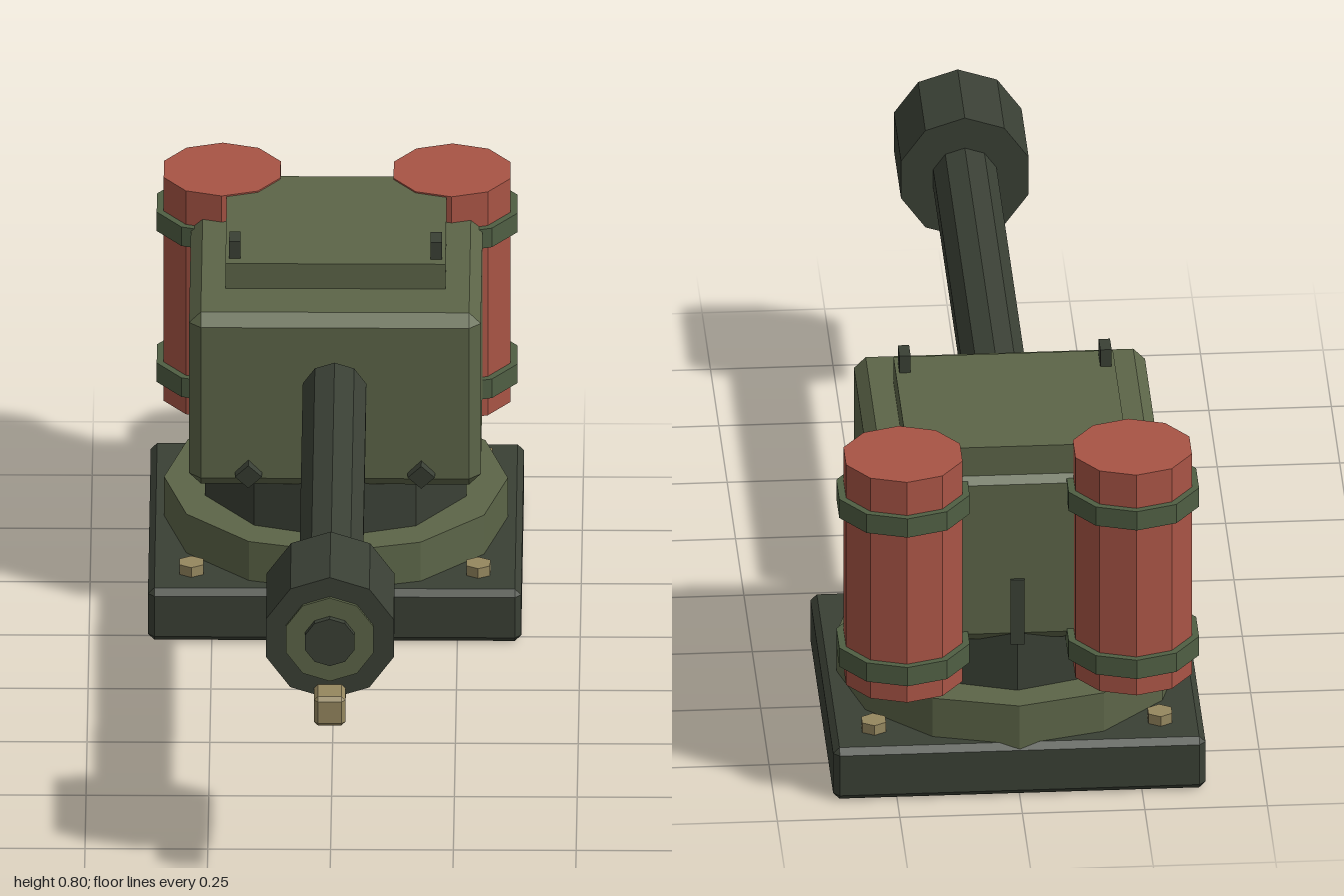
import * as THREE from 'three';
import { ConvexGeometry } from 'three/addons/geometries/ConvexGeometry.js';

const mat = (name, color) => {
  const m = new THREE.MeshStandardMaterial({ color });
  m.name = name;
  return m;
};

// Faceted copy of a geometry with one normal per face
function faceted(geo) {
  const g = geo.index ? geo.toNonIndexed() : geo;
  g.computeVertexNormals();
  return g;
}

// Box with every edge cut at 45 degrees by c
function chamferBox(w, h, d, c) {
  const pts = [];
  for (const sx of [-1, 1]) for (const sy of [-1, 1]) for (const sz of [-1, 1]) {
    const x = sx * w / 2, y = sy * h / 2, z = sz * d / 2;
    pts.push(
      new THREE.Vector3(x, y - sy * c, z - sz * c),
      new THREE.Vector3(x - sx * c, y, z - sz * c),
      new THREE.Vector3(x - sx * c, y - sy * c, z));
  }
  return new ConvexGeometry(pts);
}

const prism = (r, h, sides) => faceted(new THREE.CylinderGeometry(r, r, h, sides));
const prismZ = (r, z0, z1) => prism(r, z1 - z0, 10).rotateX(Math.PI / 2).translate(0, 0, (z0 + z1) / 2);

export function createModel() {
  const green = mat('olive green', 0x5c6548);
  const bandGreen = mat('strap green', 0x4f5e43);
  const dark = mat('dark gunmetal', 0x3a4035);
  const red = mat('tank red', 0xa85445);
  const tan = mat('brass', 0x95875f);

  const model = new THREE.Group();
  model.name = 'turret';
  const add = (name, geo, material, x, y, z, parent = model) => {
    const m = new THREE.Mesh(geo, material);
    m.name = name;
    m.position.set(x, y, z);
    parent.add(m);
    return m;
  };
  const Z = -0.57; // turning axis of the turret

  // Base plate, turntable and neck
  add('basePlate', chamferBox(0.76, 0.117, 0.704, 0.013), dark, 0, 0.0585, Z);
  add('turntable', prism(0.35, 0.1, 12), green, 0, 0.155, Z);
  add('neck', prism(0.28, 0.135, 10), dark, 0, 0.27, Z);
  for (const sx of [-1, 1]) for (const sz of [-1, 1])
    add('baseBolt', prism(0.028, 0.026, 6), tan, sx * 0.292, 0.126, Z + sz * 0.262);

  // Housing with roof and central rib
  add('housing', chamferBox(0.594, 0.388, 0.56, 0.024), green, 0, 0.507, Z);
  add('roof', new THREE.BoxGeometry(0.448, 0.07, 0.41), green, 0, 0.722, -0.63);
  add('rib', new THREE.BoxGeometry(0.028, 0.148, 0.572), dark, 0, 0.387, Z);

  for (const s of [-1, 1]) {
    // Roof sights and front studs
    add('sight', new THREE.BoxGeometry(0.023, 0.045, 0.048), dark, s * 0.205, 0.773, -0.472);
    const stud = add('stud', new THREE.BoxGeometry(0.039, 0.039, 0.03), dark, s * 0.176, 0.35, -0.288);
    stud.rotation.set(0.15, 0, Math.PI / 4);

    // Rear tank with two straps
    const tank = new THREE.Group();
    tank.name = 'tank';
    tank.position.set(s * 0.234, 0, -0.86);
    model.add(tank);
    add('tankBody', prism(0.125, 0.505, 10), red, 0, 0.5075, 0, tank);
    for (const y of [0.3215, 0.6625])
      add('tankStrap', prism(0.14, 0.043, 10), bandGreen, 0, y, 0, tank);
  }

  // Barrel and muzzle
  const gun = new THREE.Group();
  gun.name = 'gun';
  gun.position.y = 0.567;
  model.add(gun);
  add('barrel', prismZ(0.068, -0.215, 0.74), dark, 0, 0, 0, gun);
  add('muzzle', prismZ(0.137, 0.72, 0.935), dark, 0, 0, 0, gun);
  add('muzzleFace', prismZ(0.094, 0.93, 0.942), green, 0, 0, 0, gun);
  add('bore', prismZ(0.053, 0.93, 0.956), dark, 0, 0, 0, gun);
  add('pilotBlock', chamferBox(0.064, 0.065, 0.19, 0.008), tan, 0, -0.137, 0.905, gun);

  return model;
}
